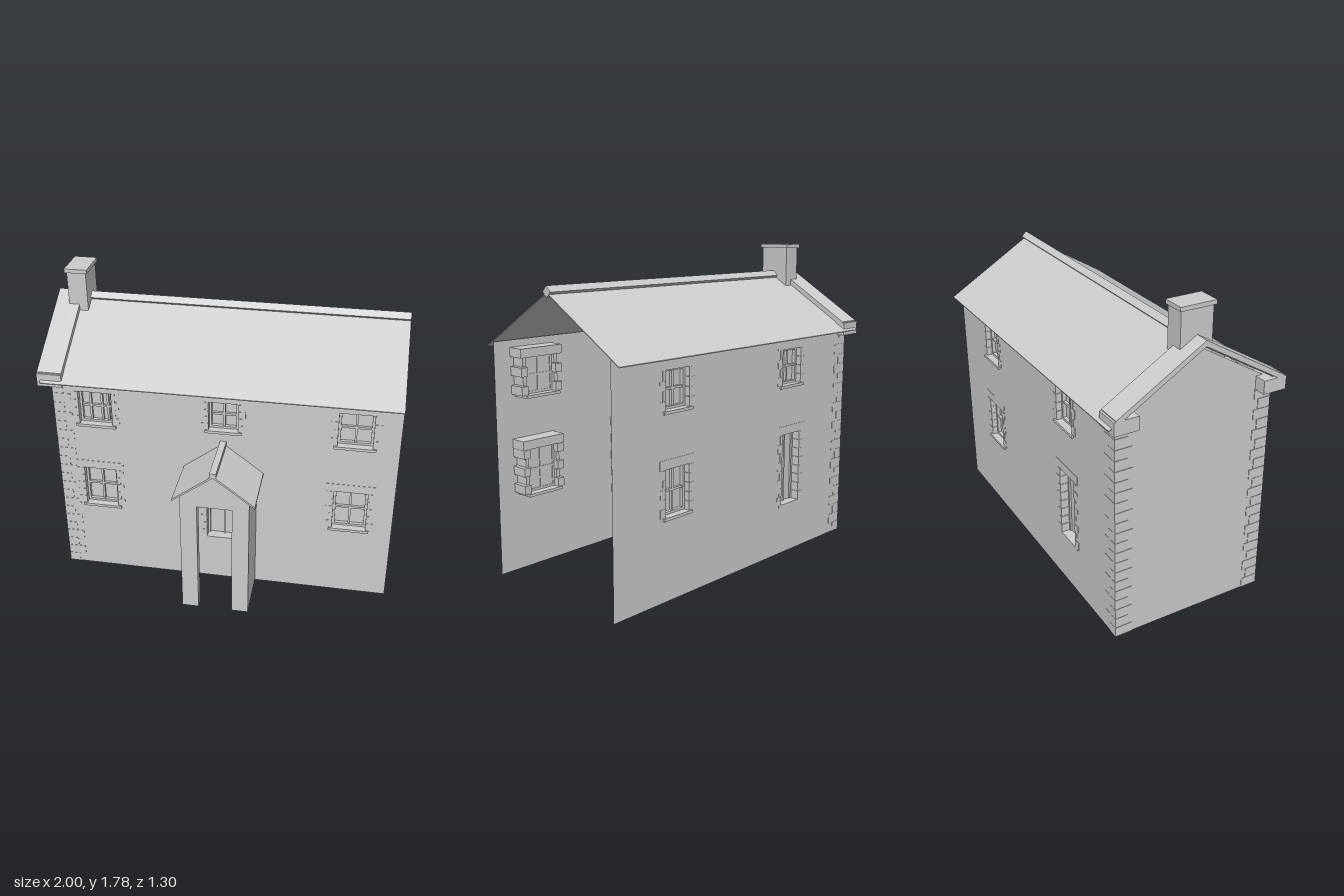
import * as THREE from 'three';

const stone = new THREE.MeshStandardMaterial({ color: 0xcccccc, side: THREE.DoubleSide });
stone.name = 'pale stone';

const FRONT = 0.32, BACK = -0.59, LEFT = -0.93, RIGHT = 1, EAVES = 1.3;
const RIDGE_Z = -0.135, RIDGE_Y = 1.585, SLOPE = 0.605;
const roofY = z => RIDGE_Y - SLOPE * Math.abs(z - RIDGE_Z);

function add(parent, name, geometry) {
  const mesh = new THREE.Mesh(geometry, stone);
  mesh.name = name;
  parent.add(mesh);
  return mesh;
}

// box given by its lower and upper corners
function box(parent, name, x0, x1, y0, y1, z0, z1) {
  const mesh = add(parent, name, new THREE.BoxGeometry(x1 - x0, y1 - y0, z1 - z0));
  mesh.position.set((x0 + x1) / 2, (y0 + y1) / 2, (z0 + z1) / 2);
  return mesh;
}

const polygon = pts => new THREE.Shape(pts.map(p => new THREE.Vector2(...p)));
const rect = (x0, x1, y0, y1) => polygon([[x0, y0], [x1, y0], [x1, y1], [x0, y1]]);

// prism of a z-y outline running along x
function prismX(parent, name, pts, x0, x1) {
  const g = new THREE.ExtrudeGeometry(polygon(pts.map(([z, y]) => [-z, y])), { depth: x1 - x0, bevelEnabled: false });
  const mesh = add(parent, name, g.rotateY(Math.PI / 2));
  mesh.position.x = x0;
  return mesh;
}

// lintel and toothed jamb stones around an opening, wall face at z = 0
function surround(parent, { x, w, y0, y1 }) {
  const group = new THREE.Group();
  group.name = 'stoneSurround';
  const h = w / 2, rows = Math.round((y1 - y0) / 0.05), step = (y1 - y0) / rows;
  box(group, 'lintel', x - h - 0.045, x + h + 0.045, y1, y1 + 0.05, -0.095, 0.002);
  for (let i = 0; i < rows; i++) {
    const reach = i % 2 ? 0.022 : 0.042, depth = i % 2 ? 0.08 : 0.095;
    for (const s of [-1, 1]) {
      const a = x + s * h, b = x + s * (h + reach);
      box(group, 'jambStone', Math.min(a, b), Math.max(a, b), y0 + i * step, y0 + (i + 1) * step - 0.002, -depth, 0.002);
    }
  }
  parent.add(group);
}

function windowUnit(parent, o) {
  const group = new THREE.Group();
  group.name = 'window';
  const { x, w, y0, y1, bars = [0] } = o, l = x - w / 2, r = x + w / 2, m = (y0 + y1) / 2, f = 0.013;
  surround(group, o);
  box(group, 'sill', l - 0.02, r + 0.02, y0 - 0.016, y0, -0.105, 0.012);
  box(group, 'pane', l, r, y0, y1, -0.056, -0.05);
  box(group, 'frameSide', l, l + f, y0, y1, -0.06, -0.03);
  box(group, 'frameSide', r - f, r, y0, y1, -0.06, -0.03);
  box(group, 'frameTop', l, r, y1 - f, y1, -0.06, -0.03);
  box(group, 'frameBottom', l, r, y0, y0 + f, -0.06, -0.03);
  box(group, 'crossBar', l, r, m - 0.006, m + 0.006, -0.06, -0.035);
  for (const b of bars) box(group, 'uprightBar', x + b - 0.006, x + b + 0.006, y0, y1, -0.06, -0.035);
  parent.add(group);
}

function doorUnit(parent, o) {
  const group = new THREE.Group();
  group.name = 'door';
  const { x, w, y0, y1 } = o, l = x - w / 2, r = x + w / 2;
  surround(group, o);
  box(group, 'doorLeaf', l, r, y0, y1, -0.065, -0.055);
  box(group, 'threshold', l - 0.02, r + 0.02, y0 - 0.014, y0, -0.095, 0.002);
  box(group, 'frameTop', l, r, y1 - 0.014, y1, -0.07, -0.04);
  for (const c of [l + 0.006, x, r - 0.006]) box(group, 'doorUpright', c - 0.006, c + 0.006, y0, y1, -0.07, -0.045);
  parent.add(group);
}

// thin wall with openings, facing local +z
function facade(name, x0, x1, windows, door) {
  const group = new THREE.Group();
  group.name = name;
  const shape = rect(x0, x1, 0, EAVES);
  for (const o of [...windows, door]) shape.holes.push(rect(o.x - o.w / 2, o.x + o.w / 2, o.y0, o.y1));
  add(group, 'wall', new THREE.ShapeGeometry(shape));
  windows.forEach(o => windowUnit(group, o));
  doorUnit(group, door);
  return group;
}

function porch() {
  const group = new THREE.Group();
  group.name = 'porch';
  const l = -0.16, r = 0.225, mid = 0.033, z1 = 0.61, top = 0.78, peak = 0.935;
  // front wall with the entrance
  const front = polygon([[l, 0], [-0.065, 0], [-0.065, 0.715], [0.13, 0.715], [0.13, 0], [r, 0], [r, top], [mid, peak], [l, top]]);
  add(group, 'porchFront', new THREE.ExtrudeGeometry(front, { depth: 0.05, bevelEnabled: false })).position.z = z1 - 0.05;
  box(group, 'porchSide', l, l + 0.03, 0, top, FRONT, z1 - 0.05);
  box(group, 'porchSide', r - 0.03, r, 0, top, FRONT, z1 - 0.05);
  // pitched roof
  const roof = polygon([[-0.195, 0.767], [mid, 0.94], [0.261, 0.767], [0.261, 0.779], [mid, 0.953], [-0.195, 0.779]]);
  add(group, 'porchRoof', new THREE.ExtrudeGeometry(roof, { depth: 0.33, bevelEnabled: false })).position.z = FRONT;
  box(group, 'porchRidge', mid - 0.018, mid + 0.018, 0.943, 0.968, FRONT, 0.65);
  return group;
}

export function createModel() {
  const house = new THREE.Group();
  house.name = 'house';

  // front and back walls
  const front = facade('frontFacade', LEFT, RIGHT, [
    { x: -0.693, w: 0.19, y0: 0.455, y1: 0.705 },
    { x: 0.757, w: 0.19, y0: 0.455, y1: 0.705 },
    { x: -0.693, w: 0.19, y0: 1.005, y1: 1.21, bars: [-0.035, 0.03, 0.065] },
    { x: 0.757, w: 0.19, y0: 1.005, y1: 1.21 },
    { x: 0.033, w: 0.165, y0: 1.035, y1: 1.21 },
  ], { x: 0.033, w: 0.195, y0: 0.295, y1: 0.715 });
  front.position.z = FRONT;

  const back = facade('backFacade', -RIGHT, -LEFT, [
    { x: -0.55, w: 0.17, y0: 0.455, y1: 0.705 },
    { x: -0.55, w: 0.17, y0: 1.005, y1: 1.21 },
    { x: 0.4, w: 0.17, y0: 1.005, y1: 1.21 },
  ], { x: 0.41, w: 0.16, y0: 0.295, y1: 0.715 });
  back.rotation.y = Math.PI;
  back.position.z = BACK;
  house.add(front, back, porch());

  // gable wall
  const gable = polygon([[-FRONT, 0], [-BACK, 0], [-BACK, roofY(BACK) - 0.02], [-RIDGE_Z, RIDGE_Y - 0.02], [-FRONT, roofY(FRONT) - 0.02]]);
  add(house, 'gableWall', new THREE.ShapeGeometry(gable).rotateY(Math.PI / 2)).position.x = LEFT;

  // alternating corner stones
  const quoins = new THREE.Group();
  quoins.name = 'cornerStones';
  const n = 21, step = 1.25 / n;
  for (let i = 0; i < n; i++) {
    const long = i % 2 === 0, dx = long ? 0.06 : 0.1, dz = long ? 0.1 : 0.075;
    for (const [z, s] of [[FRONT + 0.002, -1], [BACK - 0.002, 1]])
      box(quoins, 'cornerStone', LEFT - 0.003, LEFT + dx, i * step, (i + 1) * step - 0.002, Math.min(z, z + s * dz), Math.max(z, z + s * dz));
  }
  house.add(quoins);

  // main roof sheets and ridge tile
  const t = 0.005, zf = 0.378, zb = -0.648;
  prismX(house, 'roof', [[zf, roofY(zf) - t], [zf, roofY(zf)], [RIDGE_Z, RIDGE_Y], [zb, roofY(zb)], [zb, roofY(zb) - t], [RIDGE_Z, RIDGE_Y - t]], -0.98, RIGHT);
  const d = 0.03, ry = 1.588;
  prismX(house, 'ridgeTile', [[RIDGE_Z - d, ry], [RIDGE_Z, ry - d], [RIDGE_Z + d, ry], [RIDGE_Z, ry + d]], -0.85, RIGHT);

  // gable coping with kneeler stones
  const c0 = 0.004, c1 = 0.036;
  for (const z of [0.35, -0.62]) {
    prismX(house, 'coping', [[z, roofY(z) + c0], [z, roofY(z) + c1], [RIDGE_Z, RIDGE_Y + c1], [RIDGE_Z, RIDGE_Y + c0]], -1, -0.86);
    const s = Math.sign(z), outer = z + s * 0.012, inner = z - s * 0.125;
    box(house, 'kneeler', -1, -0.86, 1.247, 1.322, Math.min(outer, inner), Math.max(outer, inner));
  }

  // chimney
  box(house, 'chimneyStack', -0.92, -0.81, 1.49, 1.757, -0.23, -0.047);
  box(house, 'chimneyCap', -0.93, -0.8, 1.757, 1.78, -0.24, -0.036);
  return house;
}
